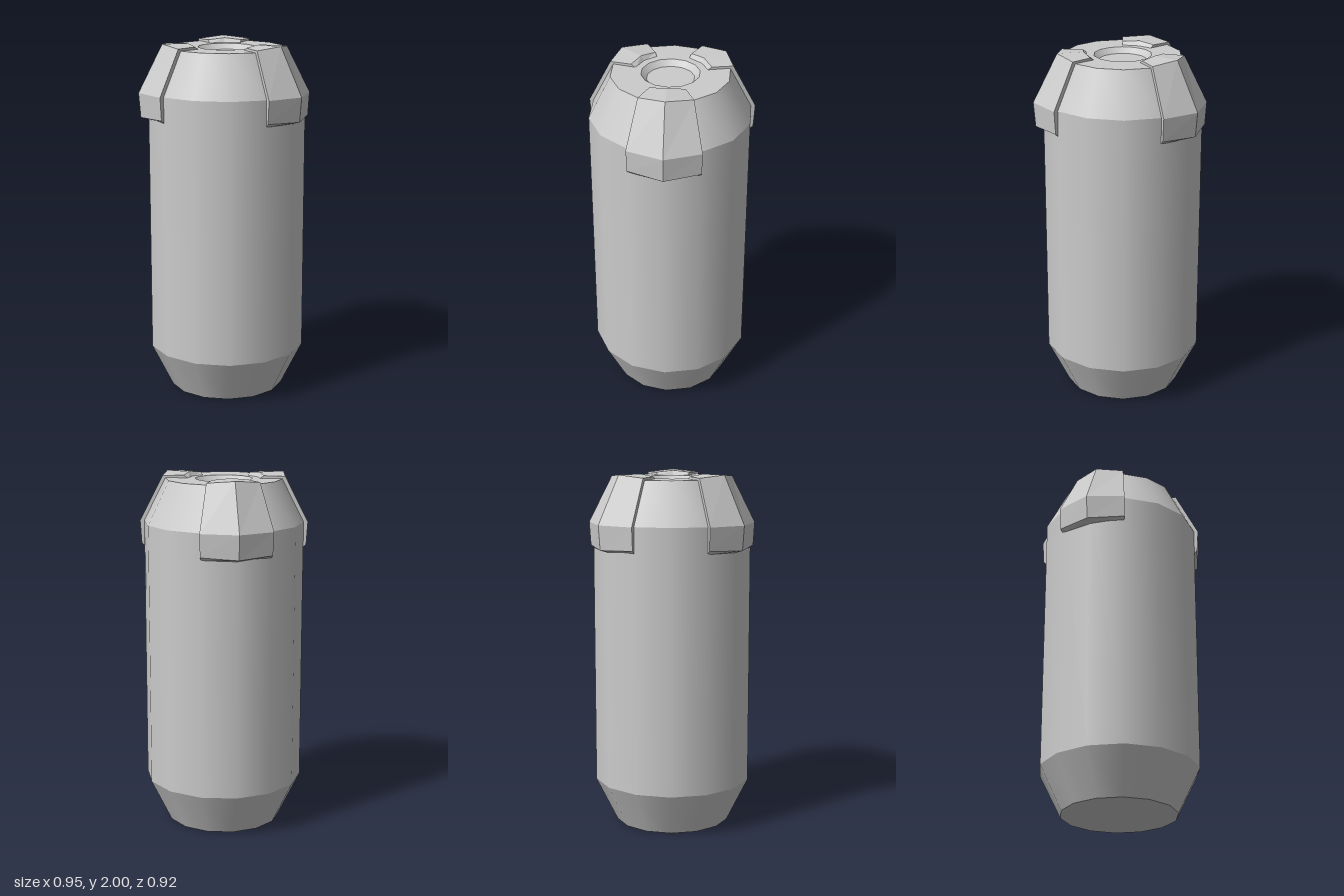
import * as THREE from 'three';

const SIDES = 14;
const STEP = (Math.PI * 2) / SIDES;
const material = new THREE.MeshStandardMaterial({ color: 0xcccccc });

// One ring of the turned body; separate rings keep the edges between them sharp
function band(name, r0, y0, r1, y1) {
  const profile = [new THREE.Vector2(r0, y0), new THREE.Vector2(r1, y1)];
  const mesh = new THREE.Mesh(new THREE.LatheGeometry(profile, SIDES, Math.PI / 2), material);
  mesh.name = name;
  return mesh;
}

// Bent plate: the same closed profile at both ends and, thicker, in the middle
function clampGeometry() {
  const end = [[0.195, 1.97], [0.224, 1.99], [0.342, 1.987], [0.471, 1.735],
    [0.463, 1.607], [0.44, 1.587], [0.43, 1.735], [0.315, 1.965]];
  const middle = [[0.196, 1.97], [0.218, 2], [0.366, 2], [0.503, 1.735],
    [0.492, 1.598], [0.43, 1.58], [0.43, 1.735], [0.315, 1.965]];
  const half = 0.44;
  const loops = [[end, -half], [middle, 0], [end, half]].map(([profile, a]) =>
    profile.map(([r, y]) => [r * Math.cos(a), y, r * Math.sin(a)]));

  const positions = [];
  const quad = (a, b, c, d) => positions.push(...a, ...b, ...c, ...a, ...c, ...d);
  for (let k = 0; k < 2; k++) {
    for (let i = 0; i < end.length; i++) {
      const j = (i + 1) % end.length;
      quad(loops[k][i], loops[k + 1][i], loops[k + 1][j], loops[k][j]);
    }
  }
  // End faces
  for (const [a, b, c, d] of [[0, 1, 2, 7], [7, 2, 3, 6], [6, 3, 4, 5]]) {
    const [first, , last] = loops;
    quad(first[a], first[b], first[c], first[d]);
    quad(last[d], last[c], last[b], last[a]);
  }
  const geometry = new THREE.BufferGeometry();
  geometry.setAttribute('position', new THREE.Float32BufferAttribute(positions, 3));
  geometry.computeVertexNormals();
  return geometry;
}

export function createModel() {
  const model = new THREE.Group();
  model.name = 'canister';

  // Body from the base up to the shallow recess in the top
  const body = new THREE.Group();
  body.name = 'body';
  body.add(
    band('base', 0, 0, 0.325, 0),
    band('lowerChamfer', 0.325, 0, 0.447, 0.25),
    band('wall', 0.447, 0.25, 0.447, 1.735),
    band('upperChamfer', 0.447, 1.735, 0.325, 1.975),
    band('topRim', 0.325, 1.975, 0.16, 1.975),
    band('recessWall', 0.16, 1.975, 0.13, 1.945),
    band('recessFloor', 0.13, 1.945, 0, 1.945),
  );
  model.add(body);

  // Three clamps, each centred on a corner of the body
  const geometry = clampGeometry();
  [['leftClamp', 0], ['frontClamp', -5], ['backClamp', 5]].forEach(([name, corner]) => {
    const clamp = new THREE.Mesh(geometry, material);
    clamp.name = name;
    clamp.rotation.y = corner * STEP;
    model.add(clamp);
  });

  // The clamp on one side shifts the body off centre
  model.children.forEach((part) => { part.position.x = -0.028; });
  return model;
}
